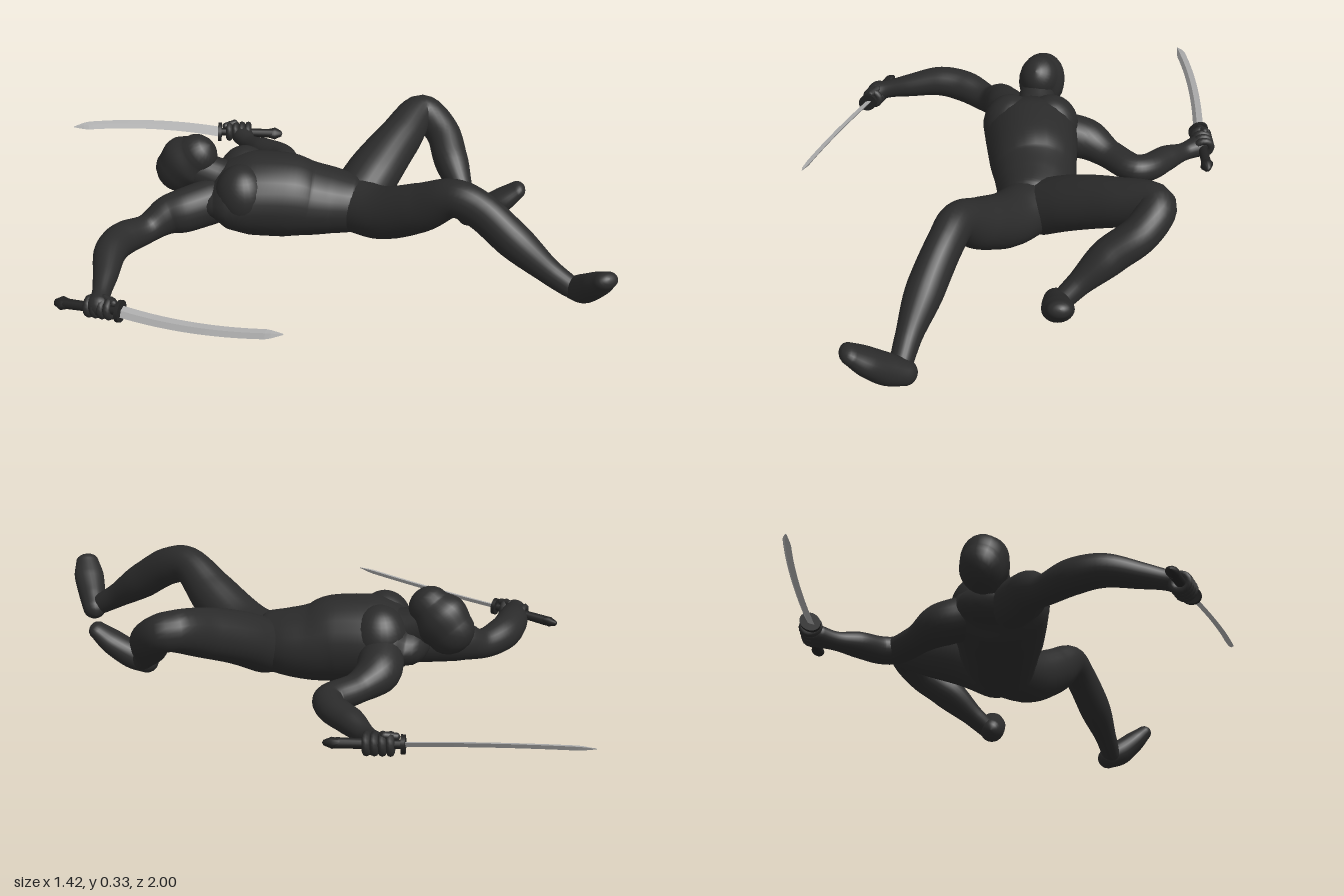
import * as THREE from 'three';

const mat = (name, color) => {
  const m = new THREE.MeshStandardMaterial({ color });
  m.name = name;
  return m;
};
const V = (x, y, z) => new THREE.Vector3(x, y, z);

// Skin elliptical rings along a smooth path; station = [x, y, z, halfWidth, halfHeight]
function loft(stations, { sides = 24, perSpan = 7, dome = 1, up = V(0, 1, 0) } = {}) {
  const path = new THREE.CatmullRomCurve3(stations.map(s => V(s[0], s[1], s[2])));
  const size = new THREE.CatmullRomCurve3(stations.map(s => V(s[3], s[4], 0)));
  const n = (stations.length - 1) * perSpan;
  const rings = [];
  const ring = (t, angle = 0, sign = 0) => {
    const c = path.getPoint(t), T = path.getTangent(t), r = size.getPoint(t);
    c.addScaledVector(T, sign * Math.sin(angle) * Math.min(r.x, r.y) * dome);
    rings.push({ c, T, w: r.x * Math.cos(angle), h: r.y * Math.cos(angle) });
  };
  for (let k = 5; k > 0; k--) ring(0, k * Math.PI / 10, -1);
  for (let i = 0; i <= n; i++) ring(i / n);
  for (let k = 1; k <= 5; k++) ring(1, k * Math.PI / 10, 1);

  const pos = [], index = [];
  rings.forEach(({ c, T, w, h }, i) => {
    const side = T.clone().cross(up).normalize();
    const top = side.clone().cross(T);
    for (let j = 0; j < sides; j++) {
      const a = j / sides * Math.PI * 2;
      const p = c.clone().addScaledVector(side, Math.cos(a) * w).addScaledVector(top, Math.sin(a) * h);
      pos.push(p.x, p.y, p.z);
      if (i < rings.length - 1) {
        const k = (j + 1) % sides, A = i * sides, B = A + sides;
        index.push(A + j, B + j, B + k, A + j, B + k, A + k);
      }
    }
  });
  const g = new THREE.BufferGeometry();
  g.setAttribute('position', new THREE.Float32BufferAttribute(pos, 3));
  g.setIndex(index);
  g.computeVertexNormals();
  return g;
}

export function createModel() {
  const cloth = mat('dark cloth', 0x2b2b2b);
  const grip = mat('black grip', 0x222222);
  const steel = mat('steel', 0xb0b0b0);
  const model = new THREE.Group();
  model.name = 'swordFighter';

  const add = (parent, name, geometry, material) => {
    const m = new THREE.Mesh(geometry, material);
    m.name = name;
    parent.add(m);
    return m;
  };
  const limb = (name, stations) => add(model, name, loft(stations), cloth);

  // Torso from shoulders to crotch
  limb('torso', [
    [-0.055, 0.14, -0.225, 0.125, 0.065], [-0.03, 0.142, -0.195, 0.146, 0.105],
    [0.02, 0.143, -0.14, 0.147, 0.132], [0.095, 0.136, -0.06, 0.138, 0.134],
    [0.145, 0.123, -0.01, 0.128, 0.118], [0.19, 0.118, 0.045, 0.118, 0.105],
    [0.23, 0.115, 0.11, 0.095, 0.09], [0.25, 0.115, 0.14, 0.06, 0.065],
  ]);
  for (const s of [-1, 1]) {
    const chest = add(model, 'chestMuscle', new THREE.SphereGeometry(1, 28, 20), cloth);
    chest.position.set(s * 0.048, 0.17, -0.16 - s * 0.041);
    chest.scale.set(0.088, 0.1, 0.085);
    chest.rotation.y = 0.7;
  }

  // Neck and hooded head, from the back of the skull to the face
  limb('neck', [[0.0, 0.16, -0.17, 0.08, 0.08], [-0.04, 0.185, -0.23, 0.06, 0.065], [-0.08, 0.21, -0.29, 0.055, 0.06]]);
  limb('head', [
    [-0.105, 0.195, -0.348, 0.068, 0.077], [-0.09, 0.23, -0.32, 0.074, 0.088], [-0.075, 0.264, -0.287, 0.06, 0.066],
  ]);

  // Arms, ending in the palms
  limb('rightArm', [
    [-0.1, 0.13, -0.21, 0.07, 0.075], [-0.18, 0.117, -0.245, 0.066, 0.072],
    [-0.225, 0.107, -0.272, 0.057, 0.064], [-0.3, 0.082, -0.29, 0.046, 0.046],
    [-0.4, 0.09, -0.288, 0.052, 0.053], [-0.48, 0.097, -0.25, 0.05, 0.049],
    [-0.56, 0.08, -0.18, 0.038, 0.038],
    [-0.62, 0.063, -0.13, 0.028, 0.03], [-0.648, 0.052, -0.108, 0.036, 0.034],
  ]);
  limb('leftArm', [
    [0.07, 0.13, -0.235, 0.07, 0.07], [0.13, 0.108, -0.285, 0.068, 0.066],
    [0.22, 0.085, -0.293, 0.048, 0.045], [0.32, 0.08, -0.29, 0.047, 0.043],
    [0.346, 0.075, -0.33, 0.045, 0.043], [0.35, 0.065, -0.42, 0.042, 0.04],
    [0.363, 0.055, -0.5, 0.029, 0.029], [0.38, 0.058, -0.55, 0.037, 0.033],
  ]);

  // Bent legs
  limb('rightLeg', [
    [0.23, 0.11, 0.1, 0.092, 0.085], [0.237, 0.125, 0.22, 0.086, 0.084],
    [0.252, 0.195, 0.36, 0.073, 0.077], [0.268, 0.268, 0.475, 0.054, 0.06],
    [0.292, 0.25, 0.55, 0.052, 0.06], [0.322, 0.178, 0.66, 0.054, 0.058],
    [0.36, 0.1, 0.77, 0.037, 0.04], [0.388, 0.06, 0.83, 0.032, 0.034],
  ]);
  limb('leftLeg', [
    [0.26, 0.11, 0.09, 0.09, 0.085], [0.36, 0.165, 0.077, 0.088, 0.082],
    [0.5, 0.225, 0.06, 0.072, 0.075], [0.638, 0.27, 0.045, 0.057, 0.059],
    [0.647, 0.225, 0.125, 0.056, 0.056], [0.6, 0.165, 0.205, 0.056, 0.055],
    [0.56, 0.095, 0.29, 0.036, 0.037], [0.543, 0.06, 0.34, 0.031, 0.032],
  ]);

  // Soft boots, heel to toe
  limb('rightFoot', [
    [0.408, 0.048, 0.84, 0.038, 0.037], [0.388, 0.075, 0.882, 0.044, 0.044],
    [0.365, 0.125, 0.935, 0.049, 0.038], [0.347, 0.164, 0.972, 0.038, 0.027],
  ]);
  limb('leftFoot', [
    [0.524, 0.048, 0.346, 0.037, 0.037], [0.553, 0.066, 0.38, 0.042, 0.042],
    [0.595, 0.107, 0.425, 0.046, 0.037], [0.625, 0.143, 0.457, 0.036, 0.026],
  ]);

  // Sword with gripping fingers; local +y runs to the tip, +x is the bowed side
  const sword = (name, guard, tip, bow, handSide) => {
    const g = new THREE.Group();
    g.name = name;
    const y = tip.clone().sub(guard), length = y.length();
    y.normalize();
    const z = bow.clone().cross(y).normalize();
    g.matrix.makeBasis(y.clone().cross(z), y, z).setPosition(guard);
    g.matrix.decompose(g.position, g.quaternion, g.scale);

    // Curved blade with a diamond section
    const stations = [];
    for (let i = 0; i <= 10; i++) {
      const t = i / 10;
      const w = i === 10 ? 0.002 : 0.019 - 0.004 * t;
      stations.push([0.075 * t * (1 - t), length * t, 0, w, i === 10 ? 0.001 : 0.007]);
    }
    const blade = loft(stations, { sides: 4, perSpan: 3, dome: 0.2, up: V(0, 0, 1) }).toNonIndexed();
    blade.computeVertexNormals();
    add(g, 'blade', blade, steel);

    // Guard, wrapped handle and flared, pointed pommel
    const disc = add(g, 'guard', new THREE.CylinderGeometry(0.034, 0.034, 0.012, 20), grip);
    disc.scale.z = 0.8;
    add(g, 'handle', new THREE.CylinderGeometry(0.013, 0.016, 0.18, 14), grip).position.y = -0.095;
    const pommel = new THREE.LatheGeometry(
      [[0, -0.222], [0.01, -0.218], [0.022, -0.195], [0.015, -0.17]].map(p => new THREE.Vector2(...p)), 14);
    add(g, 'pommel', pommel, grip).scale.z = 0.75;

    // Four fingers and a thumb
    for (let i = 0; i < 4; i++) {
      const f = add(g, 'finger', new THREE.TorusGeometry(0.024, 0.0115, 8, 18), cloth);
      f.rotation.x = Math.PI / 2;
      f.position.set(handSide * 0.004, -0.034 - i * 0.022, 0);
    }
    const thumb = add(g, 'thumb', new THREE.CapsuleGeometry(0.011, 0.035, 4, 10), cloth);
    thumb.position.set(handSide * 0.022, -0.035, 0.018);
    thumb.rotation.z = handSide * 0.4;
    model.add(g);
  };
  sword('leftSword', V(0.335, 0.066, -0.62), V(-0.02, 0.08, -0.998), V(0.73, 0.8, -0.68), 1);
  sword('rightSword', V(-0.625, 0.05, -0.04), V(-0.43, 0.105, 0.435), V(-0.92, -0.7, 0.38), -1);

  return model;
}
